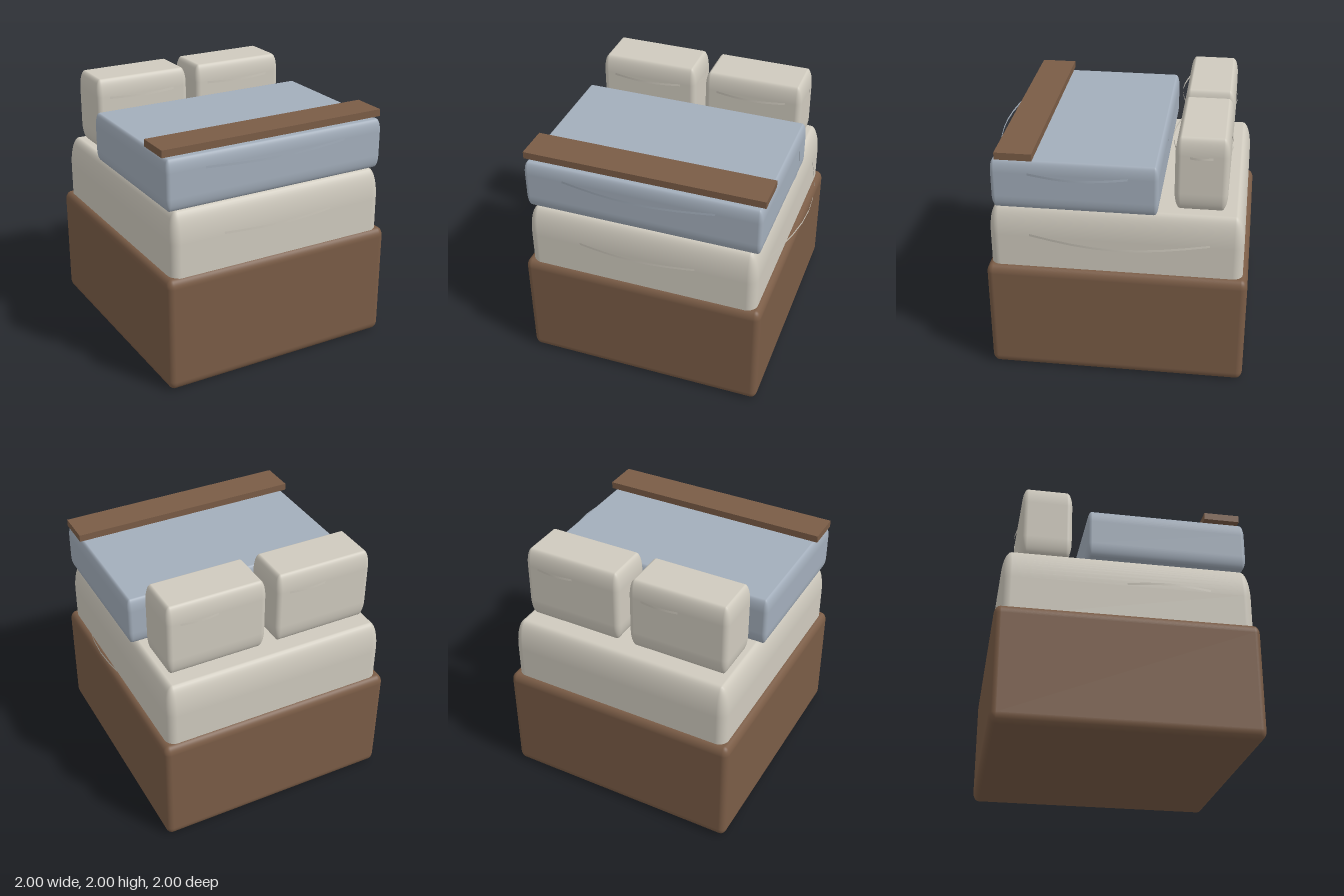
import * as THREE from 'three';
import { RoundedBoxGeometry } from 'three/addons/geometries/RoundedBoxGeometry.js';

const wood = new THREE.MeshStandardMaterial({ color: 0x7a5c46 });
const linen = new THREE.MeshStandardMaterial({ color: 0xcfcabe });
const blue = new THREE.MeshStandardMaterial({ color: 0xa3aebb });

// Rounded box between two corners; r = sideways rounding, ry = vertical rounding
function softBox(name, material, [x0, y0, z0], [x1, y1, z1], r, ry) {
  const k = ry / r;
  const geo = new RoundedBoxGeometry(x1 - x0, (y1 - y0) / k, z1 - z0, 6, r);
  geo.scale(1, k, 1);
  const mesh = new THREE.Mesh(geo, material);
  mesh.position.set((x0 + x1) / 2, (y0 + y1) / 2, (z0 + z1) / 2);
  mesh.name = name;
  return mesh;
}

// Thin upright cloth fold running from a to b along one axis, bowing out from a face
function crease(name, material, axis, face, bow, a, b, y) {
  const geo = new THREE.PlaneGeometry(1, 0.018, 8, 1);
  const p = geo.attributes.position;
  for (let i = 0; i < p.count; i++) {
    const t = p.getX(i) + 0.5;
    const along = a + (b - a) * t;
    const out = face + bow * Math.sin(Math.PI * t);
    if (axis === 'x') p.setXYZ(i, along, y + p.getY(i), out);
    else p.setXYZ(i, out, y + p.getY(i), along);
  }
  geo.computeVertexNormals();
  const thin = material.clone();
  thin.side = THREE.DoubleSide;
  const mesh = new THREE.Mesh(geo, thin);
  mesh.name = name;
  return mesh;
}

export function createModel() {
  const bed = new THREE.Group();
  bed.name = 'bed';

  // Solid base
  bed.add(softBox('base', wood, [-1, 0, -1], [0.905, 0.905, 0.98], 0.05, 0.07));

  // Mattress, sunk into the base
  const mattress = new THREE.Group();
  mattress.name = 'mattress';
  mattress.add(
    softBox('mattressBody', linen, [-0.955, 0.6, -0.96], [0.86, 1.4, 0.95], 0.075, 0.24),
    crease('mattressFrontCrease', linen, 'x', 0.945, 0.055, -0.555, 0.415, 1.175),
    crease('mattressLeftCrease', linen, 'z', 0.86, 0.14, -0.71, 0.64, 1.175),
    crease('mattressRightCrease', linen, 'z', -0.95, -0.05, -0.04, 0.64, 1.175),
  );
  bed.add(mattress);

  // Blanket
  const blanket = new THREE.Group();
  blanket.name = 'blanket';
  blanket.add(
    softBox('blanketBody', blue, [-0.965, 1.4, -0.325], [0.87, 1.79, 0.91], 0.033, 0.1),
    crease('blanketFrontCrease', blue, 'x', 0.905, 0.08, -0.68, 0.55, 1.69),
    crease('blanketLeftCrease', blue, 'z', 0.868, 0.072, -0.11, 0.64, 1.69),
    crease('blanketBackCrease', blue, 'x', -0.323, -0.015, 0.1, 0.42, 1.69),
  );
  bed.add(blanket);

  // Flat board lying across the foot of the bed
  const board = new THREE.Mesh(new THREE.BoxGeometry(1.855, 0.055, 0.275), wood);
  board.position.set(-0.048, 1.828, 0.728);
  board.name = 'footBoard';
  bed.add(board);

  // Two pillows
  for (const [name, x, backA, backB] of [
    ['rightPillow', -0.885, 0.38, 0.7],
    ['leftPillow', -0.01, 0.38, 0.7],
  ]) {
    const pillow = new THREE.Group();
    pillow.name = name;
    pillow.add(
      softBox(name + 'Body', linen, [0, 1.42, -0.82], [0.795, 2, -0.43], 0.045, 0.14),
      crease(name + 'FrontCrease', linen, 'x', -0.433, 0.043, 0.09, 0.68, 1.85),
      crease(name + 'BackCrease', linen, 'x', -0.818, -0.018, backA, backB, 1.85),
      crease(name + 'SideCrease', linen, 'z', 0.793, 0.017, -0.71, -0.53, 1.85),
    );
    pillow.position.x = x;
    bed.add(pillow);
  }
  return bed;
}
